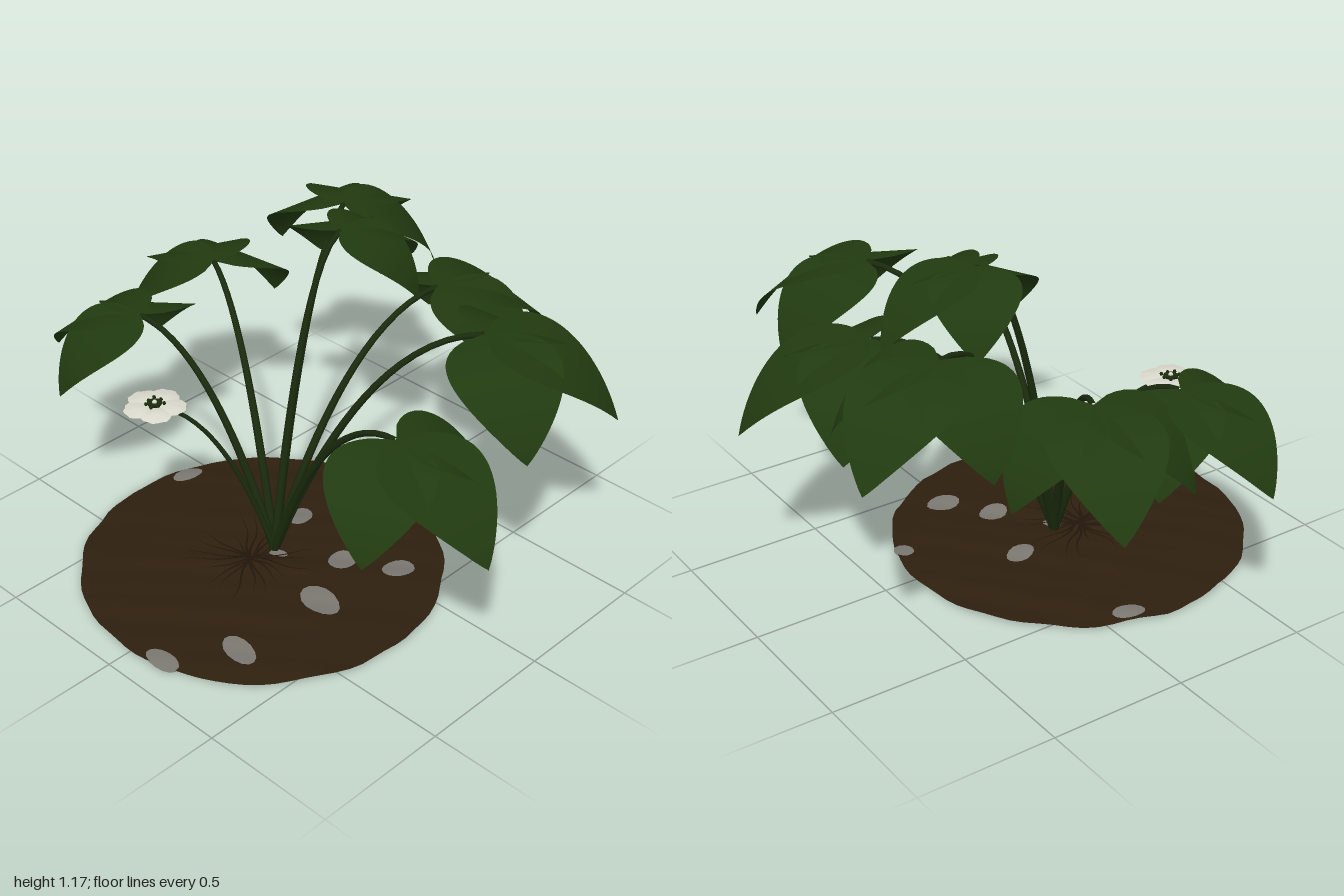
import * as THREE from 'three';

const mat = (name, color, side = THREE.DoubleSide) => {
  const m = new THREE.MeshStandardMaterial({ color, side });
  m.name = name;
  return m;
};

export function createModel() {
  const leafGreen = mat('leaf green', 0x213a10);
  const stemGreen = mat('stem green', 0x1a2b0d, THREE.FrontSide);
  const soilBrown = mat('soil brown', 0x2e1f0e);
  const rootBrown = mat('root brown', 0x20150a);
  const stoneGrey = mat('stone grey', 0x7a7771);
  const petalWhite = mat('petal white', 0xd9d9cd);
  const darkGreen = mat('flower centre green', 0x1b2a0c);

  const plant = new THREE.Group();
  plant.name = 'plant';
  const add = (parent, name, geometry, material) => {
    const mesh = new THREE.Mesh(geometry, material);
    mesh.name = name;
    parent.add(mesh);
    return mesh;
  };

  // Soil: thin bumpy round sheet
  const CX = -0.265, CZ = -0.025, R = 0.645;
  const soilHeight = (x, z) => {
    const r = Math.hypot(x - CX, z - CZ) / R;
    const bumps = Math.sin(x * 17 + z * 5) * Math.sin(z * 19 - x * 4) + 0.5 * Math.sin(x * 37 - z * 29);
    return 0.013 + 0.018 * (1 - r ** 3) + 0.005 * bumps;
  };
  // Lays a flat geometry on the soil surface at a given lift
  const drape = (geometry, lift) => {
    const p = geometry.attributes.position;
    for (let i = 0; i < p.count; i++) {
      p.setY(i, Math.max(0, soilHeight(p.getX(i), p.getZ(i)) + lift));
    }
    geometry.computeVertexNormals();
    return geometry;
  };
  const soil = new THREE.RingGeometry(0.001, R, 80, 22).rotateX(-Math.PI / 2);
  const sp = soil.attributes.position;
  for (let i = 0; i < sp.count; i++) {
    const x = sp.getX(i), z = sp.getZ(i), a = Math.atan2(z, x);
    const k = 1 + 0.005 * Math.sin(a * 11) + 0.004 * Math.sin(a * 17 + 1);
    sp.setX(i, CX + x * k);
    sp.setZ(i, CZ + z * k);
  }
  add(plant, 'soil', drape(soil, 0), soilBrown);

  // Stones: flush patches seen from above and below [x, z, half width, half depth, turn]
  const stones = [
    [-0.87, 0.12, 0.036, 0.068, 0.1], [-0.665, 0.275, 0.046, 0.078, -0.2], [-0.295, 0.29, 0.058, 0.088, -0.2],
    [-0.08, 0.19, 0.058, 0.048, 0.3], [0.03, 0.36, 0.062, 0.048, -0.3], [0.0, -0.1, 0.058, 0.043, 0.3],
    [0.32, 0.17, 0.035, 0.04, 0], [-0.21, 0.0, 0.02, 0.035, 0.5], [-0.1, -0.6, 0.06, 0.035, -0.25],
  ];
  for (const [x, z, w, d, turn] of stones) {
    for (const lift of [0.003, -0.003]) {
      const g = new THREE.RingGeometry(0.001, 1, 14, 3).rotateX(-Math.PI / 2);
      g.scale(w, 1, d).rotateY(turn).translate(x, 0, z);
      add(plant, 'stone', drape(g, lift), stoneGrey);
    }
  }

  // Root streaks fanning out over the soil
  for (let i = 0; i < 22; i++) {
    const a = i * 2.4, len = 0.12 + 0.16 * Math.abs(Math.sin(i * 1.7));
    const g = new THREE.PlaneGeometry(len, 1, 8, 1).rotateX(-Math.PI / 2).translate(len / 2, 0, 0);
    const p = g.attributes.position;
    for (let k = 0; k < p.count; k++) {
      p.setZ(k, p.getZ(k) * 0.012 * (1 - p.getX(k) / len) + 0.008 * Math.sin(p.getX(k) * 30 + i));
    }
    g.rotateY(a).translate(-0.3, 0, -0.05);
    add(plant, 'root', drape(g, 0.003), rootBrown);
  }

  // Stems: tapered tubes arching from the crown to a hub
  const base = new THREE.Vector3(-0.2, 0.03, -0.03);
  const addStem = (parent, hub, r0, r1) => {
    const bend = new THREE.Vector3().lerpVectors(base, hub, 0.45);
    bend.y = hub.y * 0.97;
    const curve = new THREE.QuadraticBezierCurve3(base, bend, hub);
    const N = 20, S = 7;
    const g = new THREE.TubeGeometry(curve, N, 1, S);
    const p = g.attributes.position, v = new THREE.Vector3();
    for (let i = 0; i < p.count; i++) {
      const t = Math.floor(i / (S + 1)) / N, c = curve.getPointAt(t);
      v.fromBufferAttribute(p, i).sub(c).multiplyScalar(r0 + (r1 - r0) * t).add(c);
      p.setXYZ(i, v.x, v.y, v.z);
    }
    add(parent, 'stem', g, stemGreen);
  };

  // Leaflet: broad near the base, tapering to a point along +x, bent down along its length
  const leaflet = (length, halfWidth, droop) => {
    const g = new THREE.PlaneGeometry(1, 2, 24, 6);
    const p = g.attributes.position;
    for (let i = 0; i < p.count; i++) {
      const u = p.getX(i) + 0.5;
      const s = Math.max(0, Math.sin(Math.PI * Math.pow(u, 0.64)));
      const across = p.getY(i) * halfWidth * Math.pow(s, 0.9);
      const y = -length * (1 - Math.cos(droop * u)) / droop;
      p.setXYZ(i, length * Math.sin(droop * u) / droop, y, -across);
    }
    g.computeVertexNormals();
    return g;
  };
  const middleLeaflet = leaflet(0.535, 0.195, 1.12);
  const sideLeaflet = leaflet(0.47, 0.185, 1.33);

  // Three-part leaves [hub x, y, z, middle tip x, z, size]
  const leaves = [
    [-0.29, 0.81, -0.59, -0.36, -0.97, 0.93],
    [0.08, 0.87, -0.61, 0.25, -1.0, 0.99],
    [0.49, 1.04, -0.36, 0.88, -0.54, 1.01],
    [0.16, 1.168, -0.06, 0.5, -0.045, 0.82],
    [0.45, 0.91, 0.13, 0.9, 0.26, 1.07],
    [0.215, 0.99, 0.54, 0.475, 0.92, 1.06],
    [-0.25, 0.82, 0.58, -0.285, 1.0, 0.99],
  ];
  for (const [x, y, z, tx, tz, size] of leaves) {
    const leaf = new THREE.Group();
    leaf.name = 'leaf';
    plant.add(leaf);
    addStem(leaf, new THREE.Vector3(x, y - 0.003, z), 0.017, 0.01);
    const blades = new THREE.Group();
    blades.name = 'leafBlades';
    blades.position.set(x, y, z);
    blades.rotation.y = -Math.atan2(tz - z, tx - x);
    blades.scale.setScalar(size);
    leaf.add(blades);
    add(blades, 'middleLeaflet', middleLeaflet, leafGreen);
    for (const s of [-1, 1]) {
      add(blades, 'sideLeaflet', sideLeaflet, leafGreen).rotation.y = s * 1.05;
    }
  }

  // Flower: five broad, wavy petals around a dark centre
  const flower = new THREE.Group();
  flower.name = 'flower';
  flower.position.set(-0.5, 0.66, -0.29);
  plant.add(flower);
  addStem(plant, flower.position.clone(), 0.011, 0.007);
  const petal = new THREE.RingGeometry(0.001, 1, 20, 3).rotateX(-Math.PI / 2);
  petal.scale(0.051, 1, 0.055).translate(0.058, 0, 0);
  const pp = petal.attributes.position;
  for (let i = 0; i < pp.count; i++) {
    const x = pp.getX(i), z = pp.getZ(i);
    pp.setX(i, x * (1 + 0.04 * Math.sin(z * 150)));
    pp.setY(i, 0.006 + 0.008 * Math.sin(x * 30) - 2 * z * z);
  }
  petal.computeVertexNormals();
  for (let i = 0; i < 5; i++) {
    add(flower, 'petal', petal, petalWhite).rotation.y = (i * Math.PI * 2) / 5 + 0.3;
  }
  add(flower, 'flowerCentre', new THREE.CylinderGeometry(0.026, 0.022, 0.014, 10).translate(0, 0.012, 0), darkGreen);
  add(flower, 'pistil', new THREE.SphereGeometry(0.009, 8, 6).translate(0, 0.02, 0), petalWhite);
  for (let i = 0; i < 7; i++) {
    const a = (i * Math.PI * 2) / 7, r = 0.029 + 0.005 * Math.sin(i * 2.3);
    add(flower, 'stamen', new THREE.SphereGeometry(0.007, 6, 4), darkGreen)
      .position.set(Math.cos(a) * r, 0.018, Math.sin(a) * r);
  }

  return plant;
}
